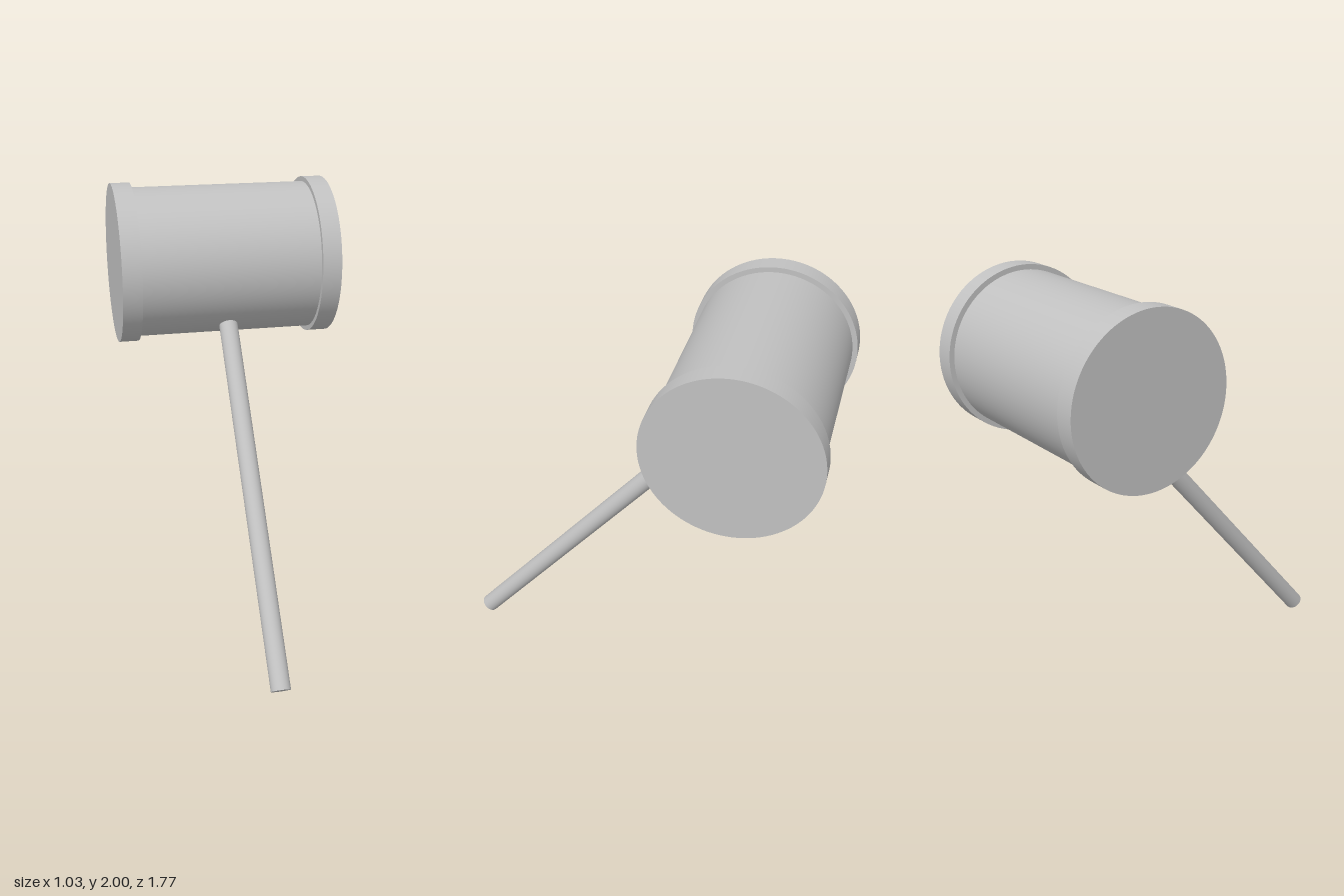
import * as THREE from 'three';

export function createModel() {
  const model = new THREE.Group();
  model.name = 'mallet';
  const grey = new THREE.MeshStandardMaterial({ color: 0xc0c0c0 });
  grey.name = 'plain grey';

  const headCentre = new THREE.Vector3(0, 1.62, -0.505);
  const handleEnd = new THREE.Vector3(0, 0.029, 0.851);

  // Solid cylinder between two points
  function rod(name, from, to, radius, sides) {
    const axis = to.clone().sub(from);
    const mesh = new THREE.Mesh(
      new THREE.CylinderGeometry(radius, radius, axis.length(), sides), grey);
    mesh.name = name;
    mesh.position.copy(from).add(to).multiplyScalar(0.5);
    mesh.quaternion.setFromUnitVectors(new THREE.Vector3(0, 1, 0), axis.normalize());
    model.add(mesh);
  }
  const onHeadAxis = (x) => headCentre.clone().setX(x);

  // Barrel of the head, with a wider band at each striking end
  rod('headBarrel', onHeadAxis(-0.43), onHeadAxis(0.43), 0.357, 96);
  rod('leftBand', onHeadAxis(0.425), onHeadAxis(0.517), 0.38, 96);
  rod('rightBand', onHeadAxis(-0.517), onHeadAxis(-0.425), 0.38, 96);

  // Slanted handle, ending just inside the barrel
  const handleTop = headCentre.clone().lerp(handleEnd, 0.14);
  rod('handle', handleEnd, handleTop, 0.0445, 48);

  return model;
}
